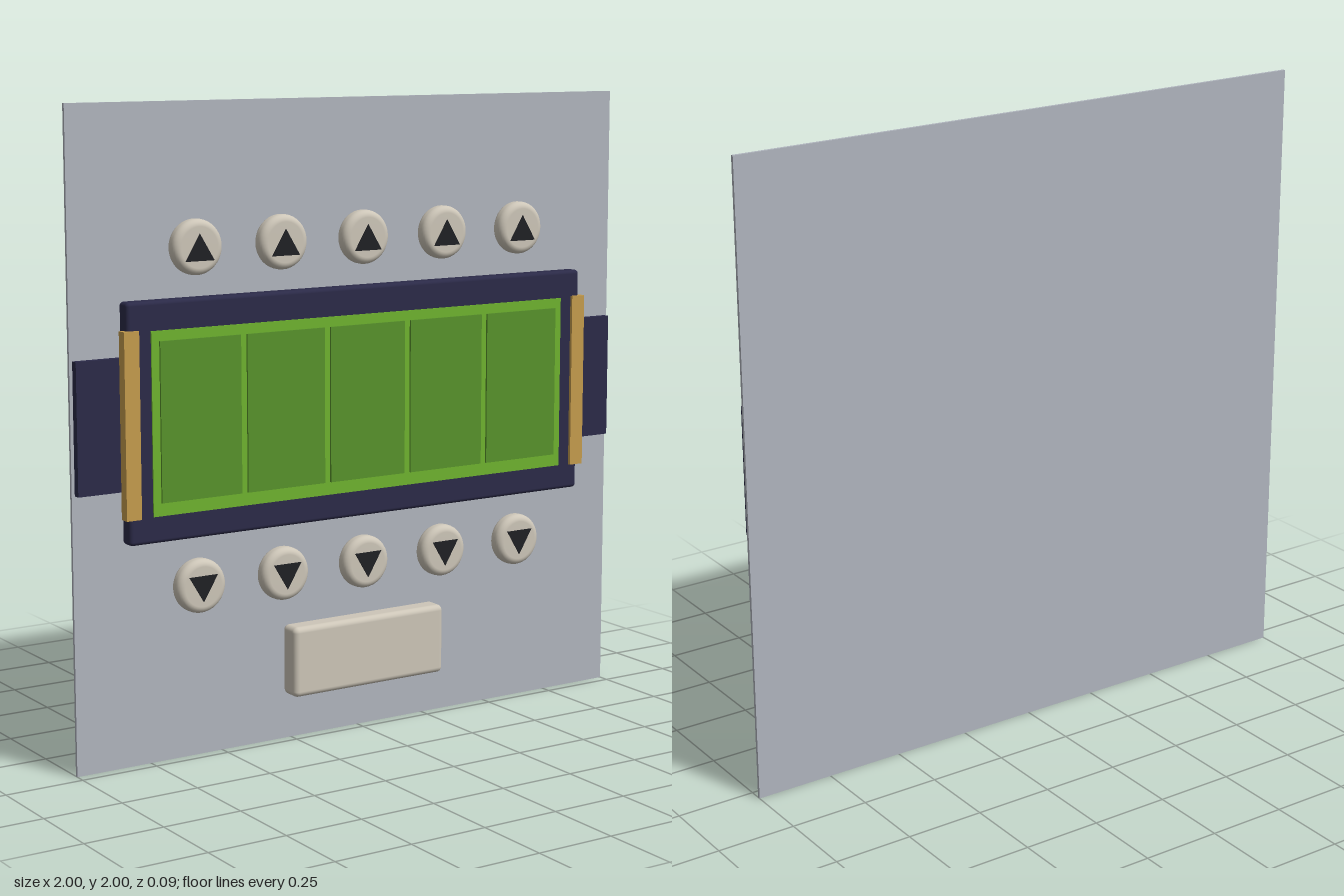
import * as THREE from 'three';
import { RoundedBoxGeometry } from 'three/addons/geometries/RoundedBoxGeometry.js';

const mat = (name, color) => {
  const m = new THREE.MeshStandardMaterial({ color });
  m.name = name;
  return m;
};

export function createModel() {
  const group = new THREE.Group();
  const grey = mat('panelGrey', 0xb0b5be);
  const navy = mat('navy', 0x2b2a48);
  const lightGreen = mat('lightGreen', 0x6fb32f);
  const darkGreen = mat('darkGreen', 0x58932b);
  const tan = mat('tan', 0xc59c4d);
  const beige = mat('beige', 0xcdc6b8);
  const black = mat('black', 0x1f2024);

  const add = (name, geometry, material, x = 0, y = 0, z = 0) => {
    const mesh = new THREE.Mesh(geometry, material);
    mesh.name = name;
    mesh.position.set(x, y, z);
    group.add(mesh);
    return mesh;
  };
  // Box given by its limits, rounded when r > 0
  const box = (name, material, x0, x1, y0, y1, z0, z1, r = 0) => {
    const size = [x1 - x0, y1 - y0, z1 - z0];
    const geometry = r ? new RoundedBoxGeometry(...size, 4, r) : new THREE.BoxGeometry(...size);
    return add(name, geometry, material, (x0 + x1) / 2, (y0 + y1) / 2, (z0 + z1) / 2);
  };

  // Back panel and display housing
  box('backPanel', grey, -1, 1, 0, 2, -0.045, -0.035);
  box('sideWings', navy, -0.99, 0.99, 0.855, 1.255, -0.035, -0.012);
  box('housing', navy, -0.838, 0.838, 0.694, 1.421, -0.032, 0.02, 0.012);
  for (const s of [-1, 1]) {
    box(s > 0 ? 'leftStrip' : 'rightStrip', tan,
      s * 0.828 - 0.025, s * 0.828 + 0.025, 0.774, 1.337, -0.003, 0.03);
  }

  // Screen with five raised cells
  box('screen', lightGreen, -0.76, 0.76, 0.776, 1.333, 0.01, 0.024);
  const spacing = 0.298;
  for (let i = -2; i <= 2; i++) {
    const x = i * spacing;
    box('screenCell', darkGreen, x - 0.138, x + 0.138, 0.816, 1.302, 0.02, 0.03);
  }

  // Round button profile: a disc with rounded rims
  const R = 0.084, half = 0.0275, r = 0.022;
  const profile = [new THREE.Vector2(0, -half)];
  for (const end of [-1, 1]) {
    for (let i = 0; i <= 6; i++) {
      const a = (end < 0 ? i - 6 : i) / 6 * Math.PI / 2;
      profile.push(new THREE.Vector2(R - r + r * Math.cos(a), end * (half - r) + r * Math.sin(a)));
    }
  }
  profile.push(new THREE.Vector2(0, half));
  const buttonGeometry = new THREE.LatheGeometry(profile, 40).rotateX(Math.PI / 2);

  // Arrow plate pointing up
  const arrow = new THREE.Shape([
    new THREE.Vector2(-0.049, -0.04), new THREE.Vector2(0.049, -0.04), new THREE.Vector2(0, 0.041),
  ]);
  const arrowGeometry = new THREE.ExtrudeGeometry(arrow, { depth: 0.004, bevelEnabled: false });

  for (let i = -2; i <= 2; i++) {
    const x = i * spacing;
    add('upButton', buttonGeometry, beige, x, 1.571, 0.001);
    add('upArrow', arrowGeometry, black, x, 1.571, 0.027);
    add('downButton', buttonGeometry, beige, x, 0.543, 0.001);
    add('downArrow', arrowGeometry, black, x, 0.537, 0.027).rotation.z = Math.PI;
  }

  // Wide button below
  box('wideButton', beige, -0.282, 0.282, 0.147, 0.371, -0.032, 0.045, 0.018);

  return group;
}
